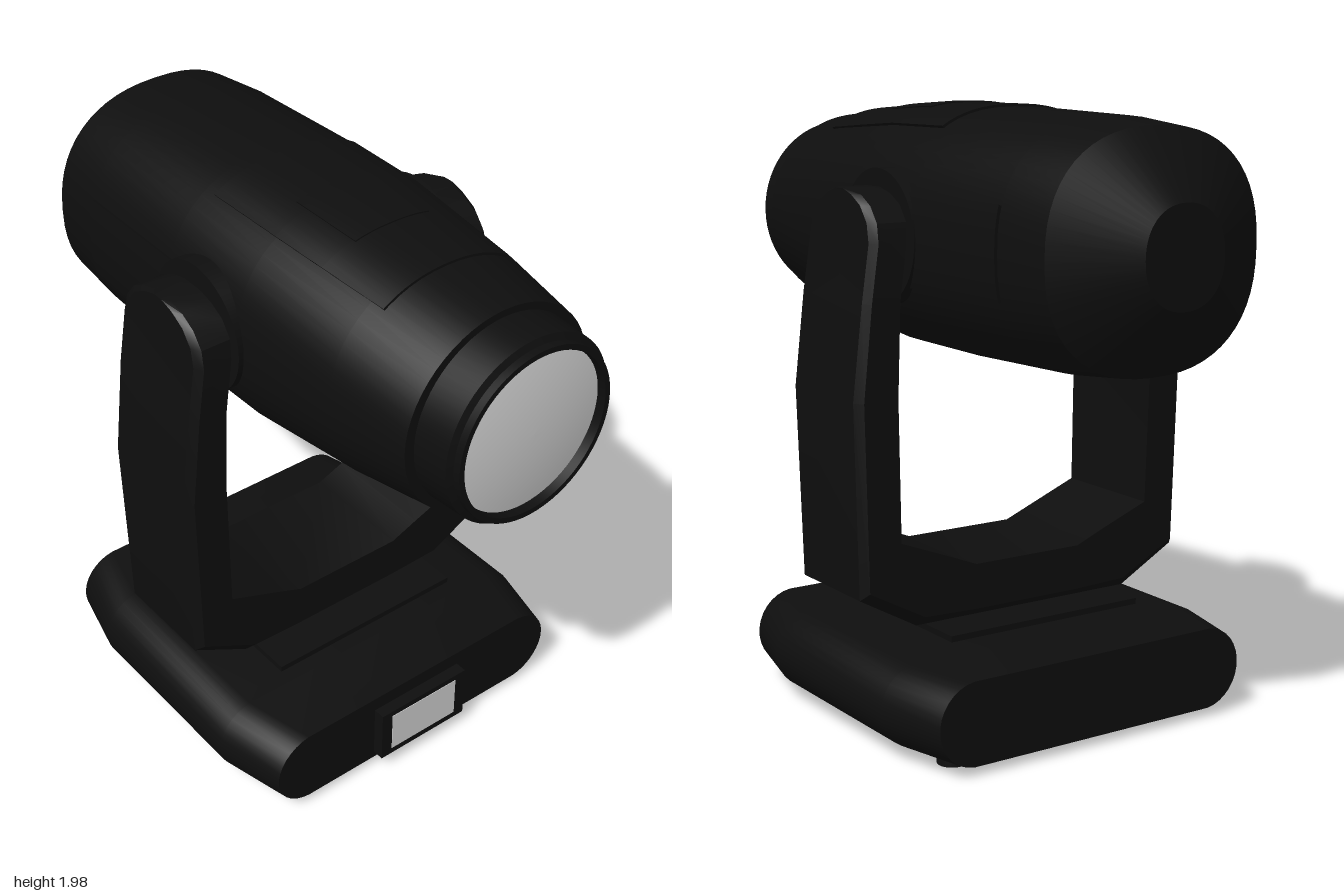
import * as THREE from 'three';
import { toCreasedNormals } from 'three/addons/utils/BufferGeometryUtils.js';

const AXIS_Y = 1.578; // height of the head's long axis
const MID_X = -0.03; // pan and tilt axes

// Solid skin over a list of closed rings of [x, y, z], capped at both ends
function loft(rings, crease = 0.5) {
  const n = rings[0].length, pos = rings.flat(2), idx = [];
  for (let i = 0; i < rings.length - 1; i++) {
    for (let j = 0; j < n; j++) {
      const a = i * n + j, b = i * n + (j + 1) % n;
      idx.push(a, b, a + n, b, b + n, a + n);
    }
  }
  const last = (rings.length - 1) * n;
  for (let j = 1; j < n - 1; j++) {
    idx.push(0, j + 1, j, last, last + j, last + j + 1);
  }
  // turn the faces outward when the enclosed volume comes out negative
  const p = (k) => new THREE.Vector3(pos[k * 3], pos[k * 3 + 1], pos[k * 3 + 2]);
  let volume = 0;
  for (let k = 0; k < idx.length; k += 3) {
    volume += p(idx[k]).dot(p(idx[k + 1]).cross(p(idx[k + 2])));
  }
  if (volume < 0) idx.reverse();
  const g = new THREE.BufferGeometry();
  g.setAttribute('position', new THREE.Float32BufferAttribute(pos, 3));
  g.setIndex(idx);
  return toCreasedNormals(g, crease);
}

// Head stations: x, half height, half width, squareness
const HEAD = [
  [-1, 0.155, 0.145, 2.2], [-0.86, 0.365, 0.39, 2.35], [-0.65, 0.385, 0.405, 2.4],
  [-0.2, 0.395, 0.418, 2.4], [0.15, 0.392, 0.415, 2.4], [0.55, 0.365, 0.385, 2.2],
  [0.84, 0.335, 0.345, 2],
];

// Point on the head's skin, pushed outward by off
function headPoint(x, angle, off = 0) {
  let i = 0;
  while (i < HEAD.length - 2 && x > HEAD[i + 1][0]) i++;
  const t = (x - HEAD[i][0]) / (HEAD[i + 1][0] - HEAD[i][0]);
  const [, h, w, e] = HEAD[i].map((v, k) => THREE.MathUtils.lerp(v, HEAD[i + 1][k], t));
  const c = Math.cos(angle), s = Math.sin(angle);
  const bend = (v) => Math.sign(v) * Math.abs(v) ** (2 / e);
  return [x, AXIS_Y + (h + off) * bend(s), (w + off) * bend(c)];
}

// Thin raised cover that follows the head between two angles
function headPanel(xs, from, to, off) {
  const steps = 16;
  return loft(xs.map((x) => {
    const ring = [];
    for (let k = 0; k <= steps; k++) ring.push(headPoint(x, from + (to - from) * k / steps, off));
    for (let k = steps; k >= 0; k--) ring.push(headPoint(x, from + (to - from) * k / steps, -0.02));
    return ring;
  }));
}

export function createModel() {
  const black = new THREE.MeshStandardMaterial({ color: 0x0e0e0e });
  black.name = 'black housing';
  const pale = new THREE.MeshStandardMaterial({ color: 0xd2d2d2 });
  pale.name = 'pale glass';
  const model = new THREE.Group();
  model.name = 'movingHeadLight';

  const add = (name, geometry, x = 0, y = 0, z = 0, material = black) => {
    const mesh = new THREE.Mesh(geometry, material);
    mesh.name = name;
    mesh.position.set(x, y, z);
    model.add(mesh);
    return mesh;
  };

  // Base: rounded section, bulging at the middle of its sides
  const baseRing = (x, half) => {
    const ring = [], r = 0.136;
    for (let k = 0; k < 32; k++) {
      const a = (k + 0.5) / 32 * Math.PI * 2, c = Math.cos(a);
      ring.push([x, 0.166 + r * Math.sin(a), Math.sign(c) * (half - r) + r * c]);
    }
    return ring;
  };
  add('base', loft([
    baseRing(-0.61, 0.58), baseRing(-0.37, 0.64), baseRing(0.31, 0.64), baseRing(0.55, 0.58),
  ]));
  for (const x of [-0.47, 0.417]) {
    for (const z of [-0.447, 0.447]) {
      add('foot', new THREE.CylinderGeometry(0.048, 0.048, 0.035, 24), x, 0.0175, z);
    }
  }

  // Control display on the end of the base
  add('displayBezel', new THREE.BoxGeometry(0.05, 0.195, 0.36), 0.566, 0.153, 0);
  add('displayScreen', new THREE.BoxGeometry(0.004, 0.15, 0.275), 0.591, 0.155, 0, pale);

  // Pan bearing
  add('panNeck', new THREE.CylinderGeometry(0.15, 0.15, 0.08, 40), MID_X, 0.335, 0);
  add('panPlate', new THREE.BoxGeometry(0.625, 0.02, 0.73), MID_X, 0.343, 0);

  // Yoke: inner z, y, outer z, y and half width, from the crossbar up one arm
  const ARM = [
    [0.2, 0.535, 0.2, 0.36, 0.205], [0.3, 0.575, 0.41, 0.36, 0.205],
    [0.48, 0.645, 0.615, 0.475, 0.207], [0.49, 1.1, 0.632, 1.1, 0.212],
    [0.48, 1.4, 0.597, 1.4, 0.212], [0.455, 1.58, 0.57, 1.58, 0.21],
    [0.447, 1.64, 0.567, 1.64, 0.195], [0.445, 1.69, 0.566, 1.69, 0.155],
    [0.445, 1.72, 0.565, 1.72, 0.1], [0.445, 1.735, 0.565, 1.735, 0.04],
  ];
  const armRing = ([iz, iy, oz, oy, half], side) => {
    const at = (t, w) => [
      MID_X + w, THREE.MathUtils.lerp(iy, oy, t), side * THREE.MathUtils.lerp(iz, oz, t),
    ];
    const inset = Math.max(half - 0.03, half * 0.5);
    return [at(0, -half), at(0.85, -half), at(1, -inset), at(1, inset), at(0.85, half), at(0, half)];
  };
  add('yoke', loft([
    ...ARM.slice().reverse().map((s) => armRing(s, -1)),
    ...ARM.map((s) => armRing(s, 1)),
  ], 0.4));

  // Tilt bearings
  for (const side of [-1, 1]) {
    const hub = add('tiltHub', new THREE.CylinderGeometry(0.213, 0.213, 0.08, 48), MID_X, AXIS_Y, side * 0.39);
    const axle = add('tiltAxle', new THREE.CylinderGeometry(0.125, 0.125, 0.09, 40), MID_X, AXIS_Y, side * 0.45);
    hub.rotation.x = axle.rotation.x = Math.PI / 2;
  }

  // Head shell with tapered rear
  add('headShell', loft(HEAD.map(([x]) => {
    const ring = [];
    for (let k = 0; k < 56; k++) ring.push(headPoint(x, k / 56 * Math.PI * 2));
    return ring;
  })));

  // Raised covers on the top and on both sides
  add('topCover', headPanel([-0.15, 0.15, 0.35, 0.6], 0.96, Math.PI - 0.96, 0.008));
  add('topLatchCover', headPanel([0.1, 0.15, 0.36], 1.28, Math.PI - 1.28, 0.012));
  for (const middle of [0, Math.PI]) {
    add('sideCover', headPanel([-0.65, -0.4, -0.15], middle - 0.3, middle + 0.3, 0.01));
  }

  // Front barrel, turned around the long axis and left open for the lens
  const profile = [
    [0.3, 0.82], [0.312, 0.84], [0.305, 0.965], [0.285, 0.975], [0.285, 1], [0.267, 1], [0.265, 0.96],
  ].map(([r, x]) => new THREE.Vector2(r, x));
  const barrel = add('lensBarrel', toCreasedNormals(new THREE.LatheGeometry(profile, 64), 0.4), 0, AXIS_Y, 0);
  barrel.rotation.z = -Math.PI / 2;

  // Slightly domed front lens
  const dome = [];
  for (let k = 0; k <= 8; k++) {
    const t = 1 - k / 8;
    dome.push(new THREE.Vector2(0.267 * t, 0.97 + 0.022 * (1 - t * t)));
  }
  const lens = add('frontLens', new THREE.LatheGeometry(dome, 64), 0, AXIS_Y, 0, pale);
  lens.rotation.z = -Math.PI / 2;

  return model;
}
